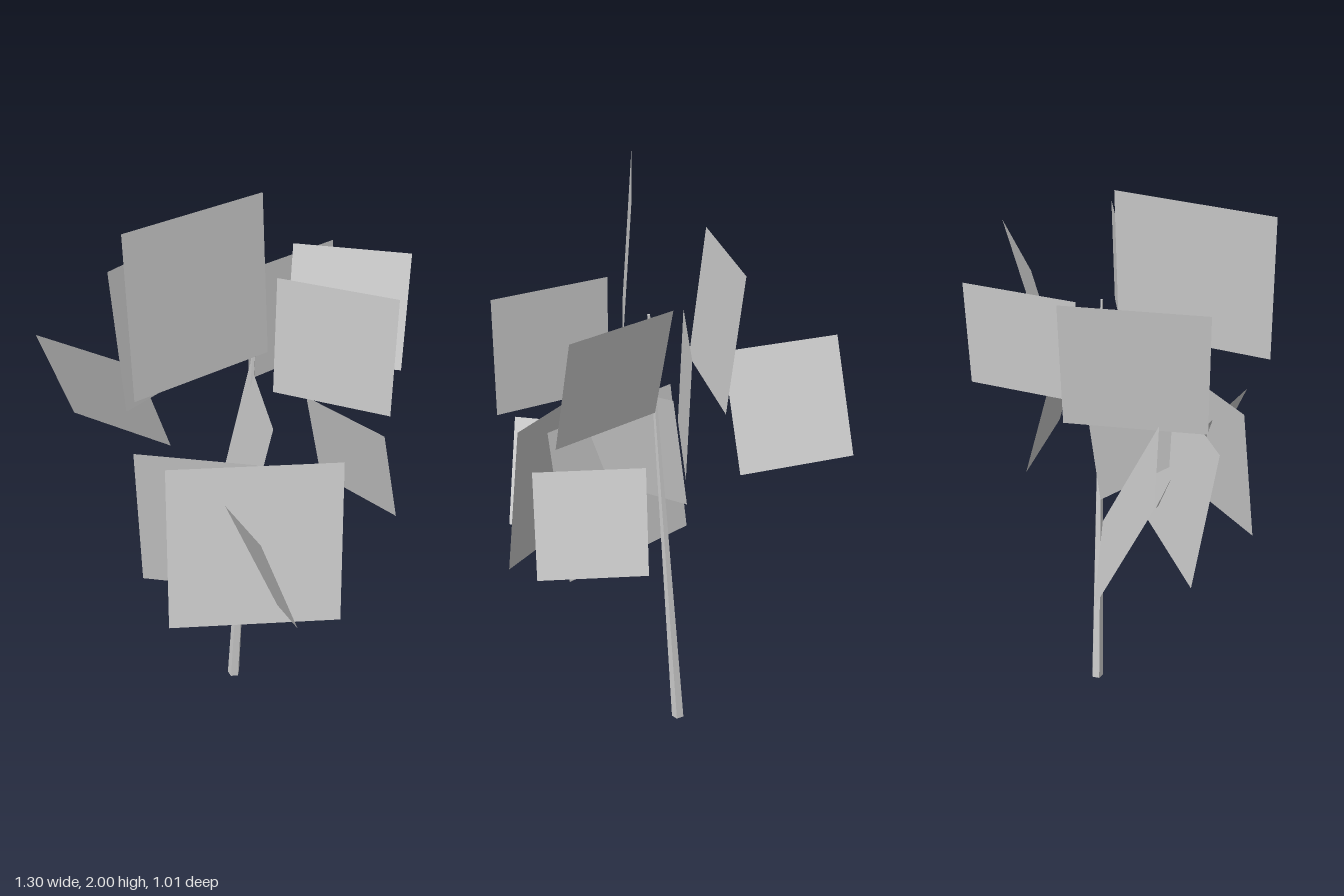
import * as THREE from 'three';

export function createModel() {
  const model = new THREE.Group();
  model.name = 'tree';
  const material = new THREE.MeshStandardMaterial({
    color: 0xcccccc, flatShading: true, side: THREE.DoubleSide,
  });

  // Thin leaning trunk, tapering almost to a point
  const base = new THREE.Vector3(0.054, 0, -0.082);
  const tip = new THREE.Vector3(0.14, 1.625, -0.05);
  const axis = tip.clone().sub(base);
  const trunk = new THREE.Mesh(new THREE.CylinderGeometry(0.005, 0.023, axis.length(), 5), material);
  trunk.name = 'trunk';
  trunk.position.copy(base).add(tip).multiplyScalar(0.5);
  trunk.quaternion.setFromUnitVectors(new THREE.Vector3(0, 1, 0), axis.normalize());
  model.add(trunk);

  // Square foliage cards: size, centre x, y, z, turn about y, tilt
  const cards = [
    [0.438, -0.426, 1.159, 0.004, -0.105, 0.434],
    [0.483, -0.149, 1.522, 0.042, 1.375, -0.125],
    [0.536, 0.084, 1.733, 0.247, 1.156, -0.075],
    [0.400, 0.447, 1.543, 0.024, 0.062, -0.03],
    [0.394, 0.363, 1.536, -0.284, 0.257, -0.24],
    [0.400, 0.142, 1.464, -0.320, 1.187, -0.046],
    [0.366, 0.431, 1.006, -0.222, -0.363, 0.25],
    [0.450, 0.178, 1.114, 0.092, -0.953, -0.209],
    [0.570, 0.143, 0.880, 0.207, 0.305, 0.153],
    [0.574, 0.323, 0.920, 0.315, 0.562, -0.135],
    [0.396, 0.313, 0.887, 0.323, -0.642, 0.367],
  ];
  const foliage = new THREE.Group();
  foliage.name = 'foliage';
  cards.forEach(([size, x, y, z, turn, tilt], i) => {
    const card = new THREE.Mesh(new THREE.PlaneGeometry(size, size), material);
    card.name = `leafCard${i + 1}`;
    card.position.set(x, y, z);
    card.rotation.set(tilt, turn, 0, 'YXZ');
    foliage.add(card);
  });
  model.add(foliage);
  return model;
}
